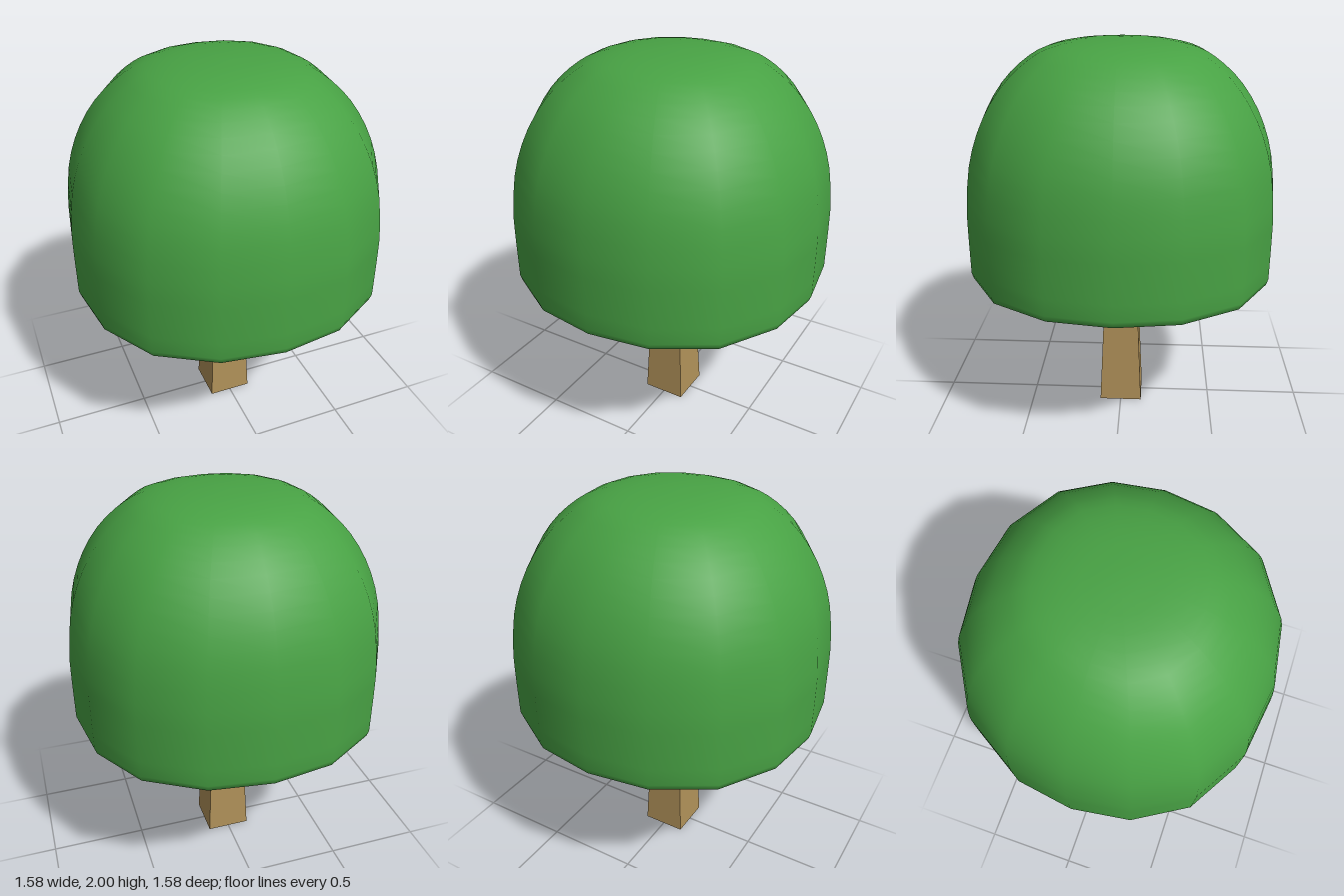
import * as THREE from 'three';
import { mergeVertices, toCreasedNormals } from 'three/addons/utils/BufferGeometryUtils.js';

const leafGreen = new THREE.MeshStandardMaterial({ color: 0x48a244 });
leafGreen.name = 'leafGreen';
const barkBrown = new THREE.MeshStandardMaterial({ color: 0xb09159, side: THREE.DoubleSide });
barkBrown.name = 'barkBrown';

function addMesh(group, name, geometry, material) {
  const mesh = new THREE.Mesh(geometry, material);
  mesh.name = name;
  group.add(mesh);
}

const toVectors = (points) => points.map(([x, y]) => new THREE.Vector2(x, y));
const smoothCurve = (points, count) => new THREE.SplineCurve(toVectors(points)).getPoints(count);

// Hollow dome, slightly squared in plan: inside wall down, rim, outside wall up
function canopyGeometry() {
  const inside = smoothCurve([
    [0, 1.85], [0.17, 1.838], [0.32, 1.795], [0.44, 1.71], [0.54, 1.58],
    [0.605, 1.4], [0.635, 1.2], [0.64, 0.86],
  ], 16);
  const rim = toVectors([[0.645, 0.835], [0.66, 0.825], [0.765, 0.825], [0.782, 0.834]]);
  const outside = smoothCurve([
    [0.792, 0.865], [0.792, 1.1], [0.787, 1.24], [0.757, 1.45], [0.69, 1.635],
    [0.59, 1.79], [0.47, 1.9], [0.36, 1.958], [0.2, 1.99], [0, 2],
  ], 22);
  const geo = new THREE.LatheGeometry([...inside, ...rim, ...outside], 16);
  const pos = geo.attributes.position;
  for (let i = 0; i < pos.count; i++) {
    const x = pos.getX(i), z = pos.getZ(i);
    const k = 1 + 0.02 * (1 - Math.cos(4 * Math.atan2(z, x)));
    pos.setX(i, x * k);
    pos.setZ(i, z * k);
  }
  geo.deleteAttribute('uv');
  geo.deleteAttribute('normal');
  const merged = mergeVertices(geo);
  merged.computeVertexNormals();
  return merged;
}

// Elbow-shaped branch from its side outline, given on the +x side
function branchGeometry(outline, depth) {
  const geo = new THREE.ExtrudeGeometry(new THREE.Shape(toVectors(outline)), { depth, bevelEnabled: false });
  geo.translate(0, 0, -depth / 2);
  return geo;
}

export function createModel() {
  const tree = new THREE.Group();
  tree.name = 'tree';

  addMesh(tree, 'canopy', canopyGeometry(), leafGreen);

  // Square tapering trunk, open at the foot, reaching into the dome
  const h = 1.75;
  const trunk = new THREE.CylinderGeometry(0.042 * Math.SQRT2, 0.115 * Math.SQRT2, h, 4, 1, true).toNonIndexed();
  trunk.rotateY(Math.PI / 4);
  trunk.translate(0, h / 2, 0);
  trunk.computeVertexNormals();
  addMesh(tree, 'trunk', trunk, barkBrown);

  const leftBranch = branchGeometry([
    [0.04, 0.598], [0.17, 0.607], [0.22, 0.617], [0.258, 0.642], [0.278, 0.69], [0.288, 0.82],
    [0.288, 1.6], [0.18, 1.6], [0.175, 0.82], [0.17, 0.735], [0.155, 0.717], [0.04, 0.717],
  ], 0.12);
  addMesh(tree, 'leftBranch', toCreasedNormals(leftBranch, 0.75), barkBrown);

  const rightBranch = branchGeometry([
    [0.06, 0.413], [0.165, 0.422], [0.228, 0.445], [0.271, 0.482], [0.29, 0.6],
    [0.288, 1.6], [0.203, 1.6], [0.203, 0.83], [0.193, 0.56], [0.182, 0.53], [0.06, 0.53],
  ], 0.08);
  rightBranch.rotateY(Math.PI);
  addMesh(tree, 'rightBranch', toCreasedNormals(rightBranch, 0.75), barkBrown);

  return tree;
}
